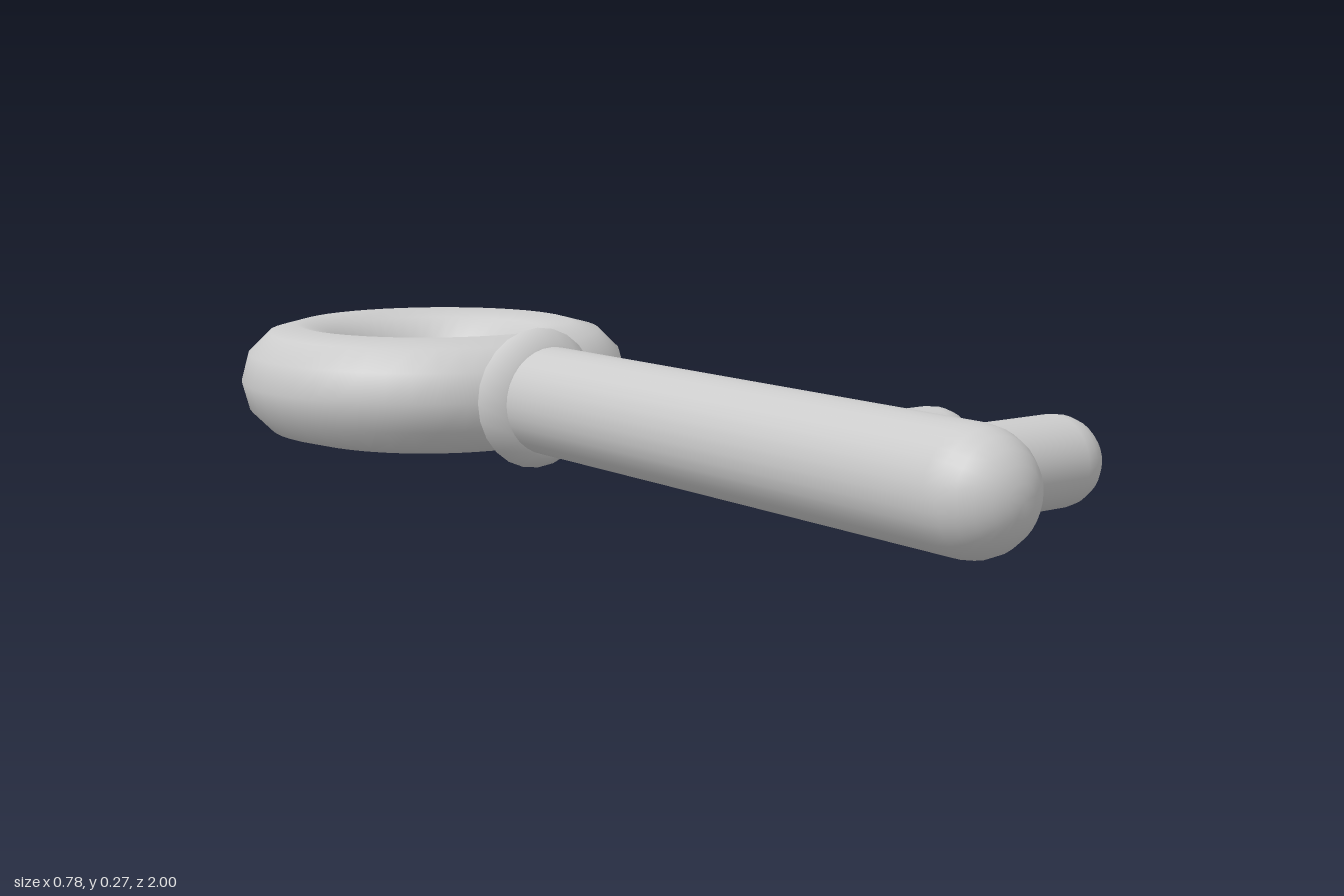
import * as THREE from 'three';

const AXIS_Y = 0.137; // height of the key's centre plane

export function createModel() {
  const key = new THREE.Group();
  key.name = 'key';
  const material = new THREE.MeshStandardMaterial({ color: 0xcccccc });

  const add = (name, geometry, x, z) => {
    const mesh = new THREE.Mesh(geometry, material);
    mesh.name = name;
    mesh.position.set(x, AXIS_Y, z);
    key.add(mesh);
    return mesh;
  };

  // Round-ended rod of a given overall length
  const rod = (radius, length) =>
    new THREE.CapsuleGeometry(radius, length - 2 * radius, 6, 32);

  // Ring handle lying flat
  add('bow', new THREE.TorusGeometry(0.278, 0.112, 12, 48), 0, -0.61).rotation.x = Math.PI / 2;

  // Collar between the handle and the shaft
  add('collar', new THREE.TorusGeometry(0.079, 0.055, 6, 24), 0, -0.235);

  // Shaft, its back end sunk into the handle
  const back = -0.33, tip = 1;
  add('shaft', rod(0.102, tip - back), 0, (tip + back) / 2).rotation.x = Math.PI / 2;

  // Two teeth on the left side, starting inside the shaft
  const teeth = [
    ['longTooth', 0.356, 0.8],
    ['shortTooth', 0.256, 0.628],
  ];
  for (const [name, end, z] of teeth) {
    const start = -0.02;
    add(name, rod(0.075, end - start), (start + end) / 2, z).rotation.z = -Math.PI / 2;
  }

  return key;
}
